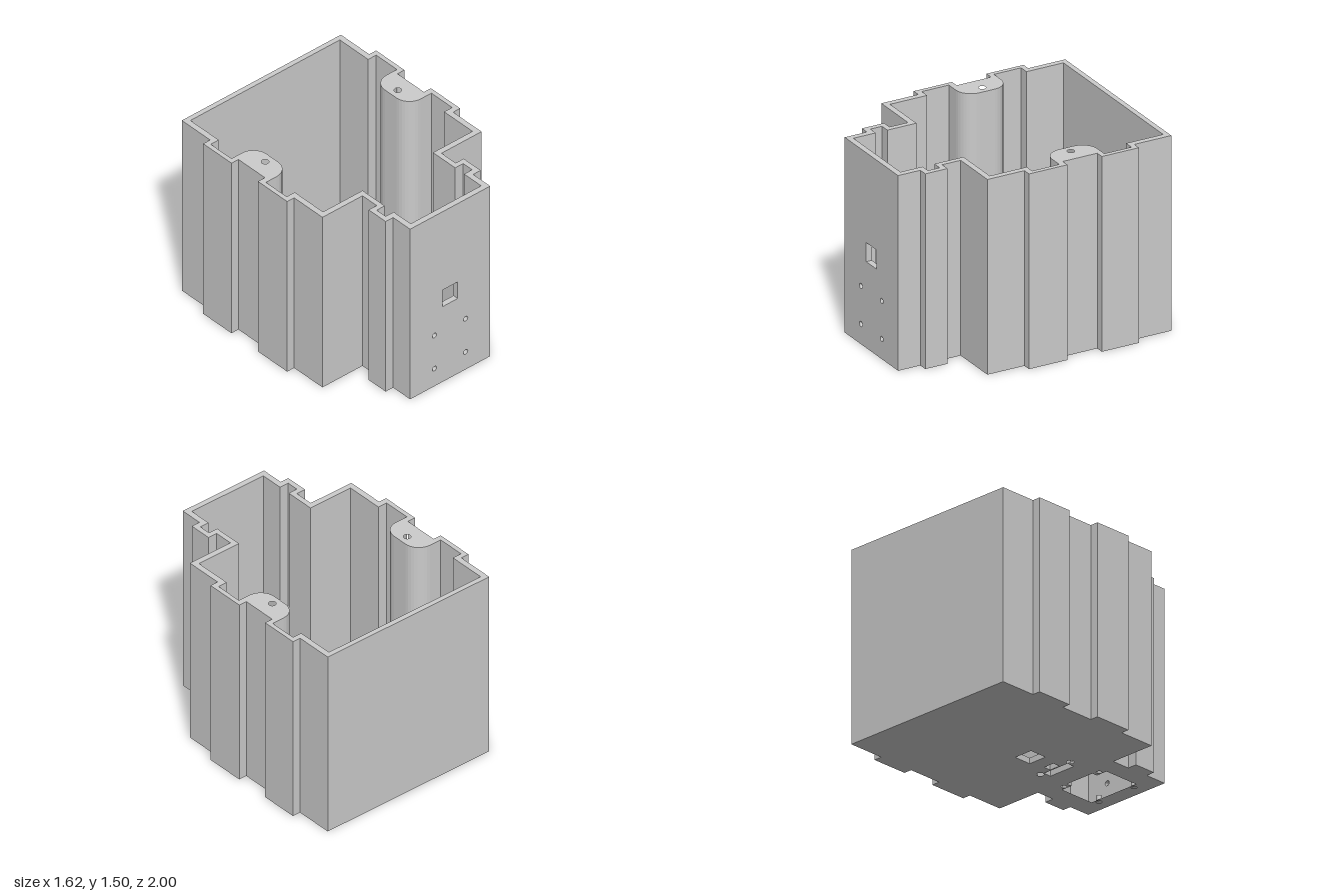
import * as THREE from 'three';

const HEIGHT = 1.505, FLOOR = 0.045, SCREW_DEPTH = 0.3, FRONT_IN = 0.955;

// Right half of the outer outline as [x, z], from back to front
const outer = [
  [0.745, -1], [0.745, -0.7], [0.81, -0.7], [0.81, -0.4], [0.745, -0.4],
  [0.745, -0.12], [0.81, -0.12], [0.81, 0.19], [0.745, 0.19], [0.745, 0.49],
  [0.37, 0.49], [0.37, 0.64], [0.445, 0.64], [0.445, 0.82], [0.375, 0.82],
];

// Rounded inner face of the screw boss
function bossCurve() {
  const r = 0.12, cx = 0.675, n = 8, pts = [];
  for (let i = 0; i <= n; i++) {
    const t = (i / n) * Math.PI / 2;
    pts.push([cx - r * Math.sin(t), -0.32 - r * Math.cos(t)]);
  }
  for (let i = 0; i <= n; i++) {
    const t = (i / n) * Math.PI / 2;
    pts.push([cx - r * Math.cos(t), -0.195 + r * Math.sin(t)]);
  }
  return pts;
}

// Right half of the cavity outline, from back to front
const inner = [
  [0.7, -0.96], [0.7, -0.66], [0.775, -0.66], [0.775, -0.44],
  ...bossCurve(),
  [0.775, -0.075], [0.775, 0.145], [0.7, 0.145], [0.7, 0.445], [0.33, 0.445],
  [0.33, 0.68], [0.405, 0.68], [0.405, 0.775], [0.33, 0.775], [0.33, FRONT_IN],
];

const mirror = (pts) => pts.map(([x, z]) => [-x, z]);
const vectors = (pts) => pts.map(([x, y]) => new THREE.Vector2(x, y));
const flip = (pts) => pts.map(([x, z]) => [x, -z]);
const polygon = (pts) => new THREE.Path(vectors(pts));
const rect = (x0, x1, y0, y1) => polygon([[x0, y0], [x1, y0], [x1, y1], [x0, y1]]);
const circle = (x, y, r) => new THREE.Path().absarc(x, y, r, 0, Math.PI * 2, true);

export function createModel() {
  const group = new THREE.Group();
  const material = new THREE.MeshStandardMaterial({ color: 0xcccccc });

  const extrude = (name, shape, depth) => {
    const geometry = new THREE.ExtrudeGeometry(shape, { depth, bevelEnabled: false, curveSegments: 12 });
    const mesh = new THREE.Mesh(geometry, material);
    mesh.name = name;
    group.add(mesh);
    return mesh;
  };
  // Plan shapes use (x, -z) and rise along y
  const extrudeUp = (name, shape, y0, y1) => {
    const mesh = extrude(name, shape, y1 - y0);
    mesh.geometry.rotateX(-Math.PI / 2);
    mesh.position.y = y0;
  };

  // Floor plate with its cut-outs
  const outline = [...outer, [0.375, 1]];
  const floor = new THREE.Shape(vectors(flip([...outline, ...mirror(outline).reverse()])));
  floor.holes.push(
    rect(-0.08, 0.075, -0.105, 0.04),
    rect(-0.045, 0.045, -0.28, -0.22),
    rect(-0.115, 0.115, -0.355, -0.29),
    polygon(flip([
      [-0.22, 0.575], [-0.125, 0.575], [-0.125, 0.53], [0.125, 0.53],
      [0.125, 0.575], [0.215, 0.575], [0.215, 0.87], [-0.22, 0.87],
    ])),
  );
  for (const s of [-1, 1]) {
    floor.holes.push(circle(s * 0.147, -0.285, 0.027));
    for (const z of [0.55, 0.9]) floor.holes.push(circle(s * 0.172, -z, 0.021));
  }
  extrudeUp('floor', floor, 0, FLOOR);

  // Side and back walls with screw bosses, open at the front
  const wallOuter = [...outer, [0.375, FRONT_IN]];
  const wallPoints = flip([
    ...wallOuter, ...[...inner].reverse(), ...mirror(inner), ...mirror(wallOuter).reverse(),
  ]);
  extrudeUp('lowerWalls', new THREE.Shape(vectors(wallPoints)), FLOOR, HEIGHT - SCREW_DEPTH);

  // Upper walls carry the blind screw holes
  const upper = new THREE.Shape(vectors(wallPoints));
  for (const s of [-1, 1]) upper.holes.push(circle(s * 0.622, 0.257, 0.027));
  extrudeUp('upperWalls', upper, HEIGHT - SCREW_DEPTH, HEIGHT);

  // Front panel with window and four mounting holes
  const front = new THREE.Shape(vectors([
    [-0.375, FLOOR], [0.375, FLOOR], [0.375, HEIGHT], [-0.375, HEIGHT],
  ]));
  front.holes.push(rect(-0.073, 0.071, 0.665, 0.812));
  for (const x of [-0.147, 0.145]) {
    for (const y of [0.155, 0.448]) front.holes.push(circle(x, y, 0.02));
  }
  extrude('frontPanel', front, 1 - FRONT_IN).position.z = FRONT_IN;

  return group;
}
